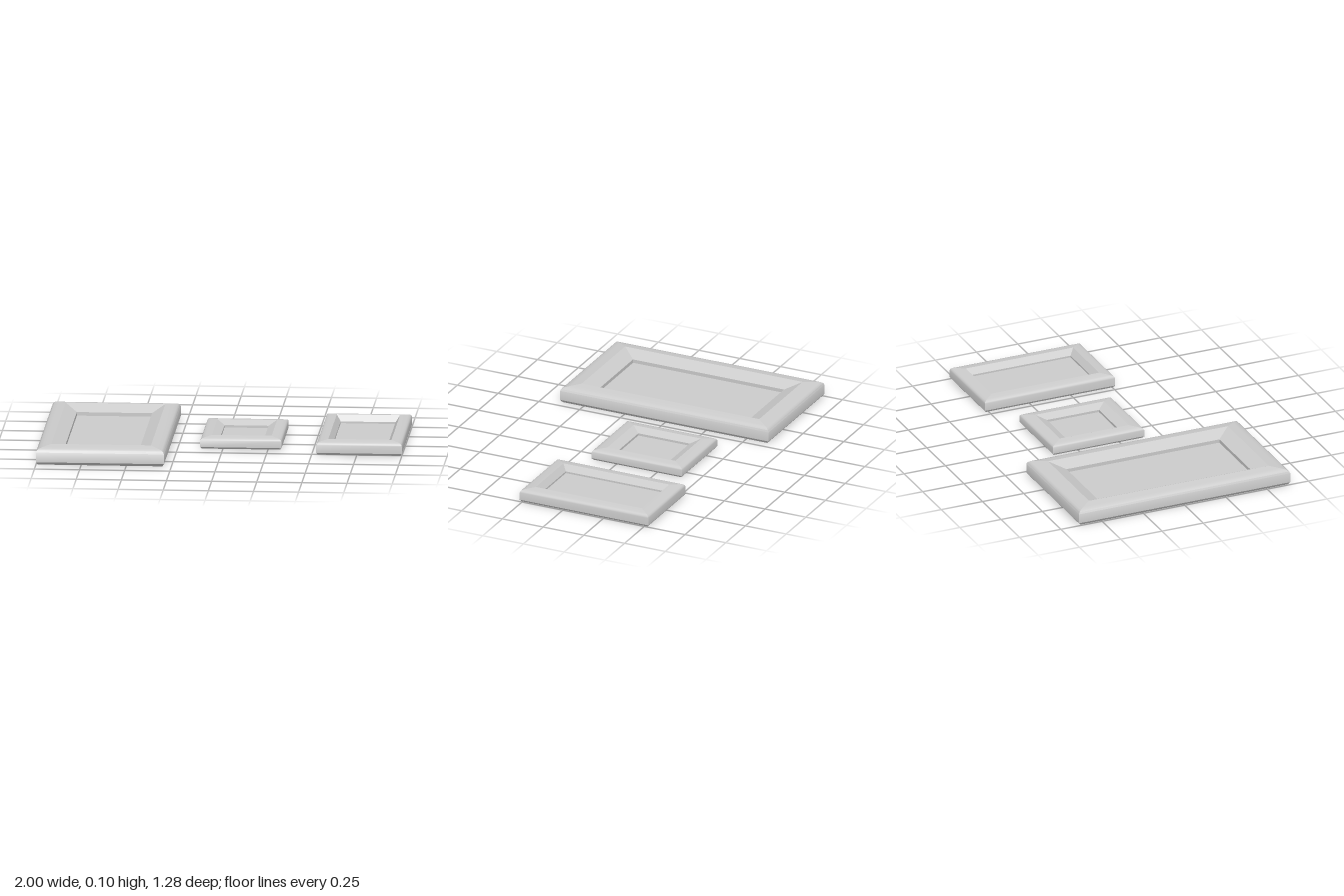
import * as THREE from 'three';
import { mergeGeometries, toCreasedNormals } from 'three/addons/utils/BufferGeometryUtils.js';

const material = new THREE.MeshStandardMaterial({ color: 0xcccccc });

// Sweeps a closed moulding profile [t, y] around a rectangle, mitred at the corners.
// t runs from 0 at the outer edge to 1 at the opening.
function mouldingGeometry(width, depth, railX, railZ, profile) {
  const signs = [[-1, 1], [1, 1], [1, -1], [-1, -1]];
  const corner = (i, [t, y]) => {
    const [sx, sz] = signs[i % 4];
    return [sx * (width / 2 - t * railX), y, sz * (depth / 2 - t * railZ)];
  };
  const sides = signs.map((_, i) => {
    const positions = [];
    profile.forEach((p, k) => {
      const q = profile[(k + 1) % profile.length];
      const a = corner(i, p), b = corner(i + 1, p), c = corner(i + 1, q), d = corner(i, q);
      positions.push(...a, ...b, ...c, ...a, ...c, ...d);
    });
    const side = new THREE.BufferGeometry();
    side.setAttribute('position', new THREE.Float32BufferAttribute(positions, 3));
    return toCreasedNormals(side, 0.52);
  });
  return mergeGeometries(sides);
}

function createFrame({ name, x, z, width, depth, height: h, railX, railZ, ridge, lip, panelTop }) {
  const group = new THREE.Group();
  group.name = name;
  group.position.set(x, 0, z);

  // Moulding: chamfered foot, rounded outer edge, ridge, slope to the opening
  const profile = [
    [0.1 * h / railX, 0], [0, 0.15], [0, 0.7], [0.03, 0.8], [0.1, 0.88],
    [0.25, 0.93], [ridge, 1], [1, lip], [1, 0],
  ].map(([t, y]) => [t, y * h]);
  const moulding = new THREE.Mesh(mouldingGeometry(width, depth, railX, railZ, profile), material);
  moulding.name = 'moulding';

  // Panel set into the opening, recessed on both faces
  const bottom = 0.12 * h, top = panelTop * h;
  const panel = new THREE.Mesh(
    new THREE.BoxGeometry(width - 2 * railX, top - bottom, depth - 2 * railZ), material);
  panel.name = 'panel';
  panel.position.y = (top + bottom) / 2;

  group.add(moulding, panel);
  return group;
}

export function createModel() {
  const model = new THREE.Group();
  model.name = 'pictureFrames';
  const frames = [
    { name: 'largeFrame', x: -0.645, z: 0, width: 0.71, depth: 1.28, height: 0.1,
      railX: 0.147, railZ: 0.177, ridge: 0.54, lip: 0.65, panelTop: 0.45 },
    { name: 'smallFrame', x: 0.1, z: -0.128, width: 0.45, depth: 0.555, height: 0.065,
      railX: 0.103, railZ: 0.12, ridge: 0.58, lip: 0.65, panelTop: 0.45 },
    { name: 'mediumFrame', x: 0.763, z: -0.13, width: 0.474, depth: 0.79, height: 0.077,
      railX: 0.085, railZ: 0.096, ridge: 0.73, lip: 0.55, panelTop: 0.42 },
  ];
  frames.forEach((f) => model.add(createFrame(f)));
  return model;
}
